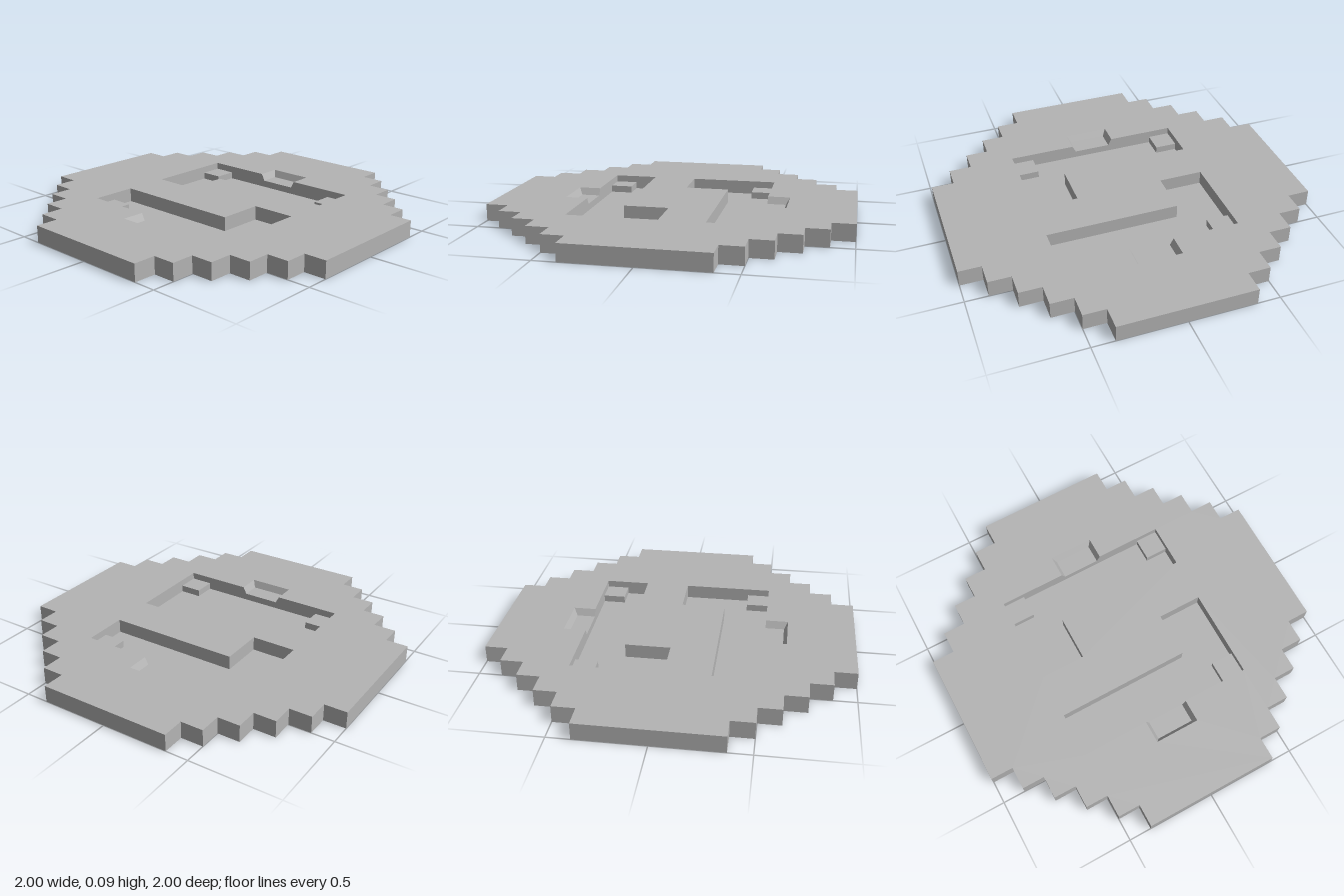
import * as THREE from 'three';

const TOP = 0.094, STEP = 0.055, FLOOR = 0.016; // plate top, ledge and pocket floor heights

const stone = new THREE.MeshStandardMaterial({ color: 0xb4b4b4 });
stone.name = 'grey';

function mesh(name, geometry) {
  const m = new THREE.Mesh(geometry, stone);
  m.name = name;
  return m;
}

// Flat upward face from [x, z] outlines
function cap(outline, y, holes = []) {
  const toV2 = ([x, z]) => new THREE.Vector2(x, -z);
  const shape = new THREE.Shape(outline.map(toV2));
  holes.forEach((h) => shape.holes.push(new THREE.Path(h.map(toV2))));
  return new THREE.ShapeGeometry(shape).rotateX(-Math.PI / 2).translate(0, y, 0);
}

// Flat-shaded band of quads between two rows of [x, z] points
function band(low, y0, high, y1) {
  const p = [];
  for (let i = 0; i < low.length - 1; i++) {
    const a = [low[i][0], y0, low[i][1]], b = [low[i + 1][0], y0, low[i + 1][1]];
    const c = [high[i + 1][0], y1, high[i + 1][1]], d = [high[i][0], y1, high[i][1]];
    p.push(...a, ...b, ...c, ...a, ...c, ...d);
  }
  const g = new THREE.BufferGeometry();
  g.setAttribute('position', new THREE.Float32BufferAttribute(p, 3));
  g.computeVertexNormals();
  return g;
}

const pocketRim = [[-0.5, -0.125], [-0.5, -0.5], [-0.25, -0.5], [-0.25, 0.25], [0, 0.25],
  [0, 0.5], [-0.5, 0.5], [-0.5, 0.125]];
const notchRim = [[-0.5, 0.125], [-0.625, 0.125], [-0.625, -0.125], [-0.5, -0.125]];
const notchFoot = [[-0.5, 0.105], [-0.605, 0.105], [-0.605, -0.105], [-0.5, -0.105]];

// L-shaped pocket with a sloped side notch and two corner blocks
function makePocket() {
  const g = new THREE.Group();
  // Walls start beside the notch and run around the L
  const walls = pocketRim;
  g.add(mesh('pocketWalls', band(walls, FLOOR, walls, TOP)));
  g.add(mesh('pocketFloor', cap(pocketRim.slice(1, 7), FLOOR)));
  g.add(mesh('notchFloor', cap(notchFoot, STEP)));
  g.add(mesh('notchSlopes', band(notchFoot, STEP, notchRim, TOP)));

  // Wall under the notch, drawn in the z-y plane and turned to face the pocket
  const sill = new THREE.Shape([[-0.125, FLOOR], [0.125, FLOOR], [0.125, TOP], [0.105, STEP],
    [-0.105, STEP], [-0.125, TOP]].map(([x, y]) => new THREE.Vector2(x, y)));
  g.add(mesh('notchSill', new THREE.ShapeGeometry(sill).rotateY(Math.PI / 2).translate(-0.5, 0, 0)));

  for (const side of [-1, 1]) {
    const block = mesh('cornerBlock', new THREE.BoxGeometry(0.125, STEP - FLOOR, 0.125));
    block.position.set(-0.4375, (STEP + FLOOR) / 2, side * 0.4375);
    g.add(block);
  }
  return g;
}

export function createModel() {
  const model = new THREE.Group();
  model.name = 'steppedDisc';

  // Stepped rim: one quadrant of stairs, turned four times
  let quarter = [[0.375, 1]];
  for (let i = 0; i < 5; i++) {
    const x = 0.375 + i * 0.125, z = 0.875 - i * 0.125;
    quarter.push([x, z], [x + 0.125, z]);
  }
  const outline = [];
  for (let q = 0; q < 4; q++) {
    outline.push(...quarter);
    quarter = quarter.map(([x, z]) => [z, -x]);
  }
  const loop = [...outline, outline[0]];

  // Plate surfaces, with both pockets cut through the top
  const hole = [...pocketRim, ...notchRim.slice(1, 3)];
  const holes = [hole, hole.map(([x, z]) => [-x, -z])];
  model.add(mesh('plateTop', cap(outline, TOP, holes)));
  model.add(mesh('plateRim', band(loop, 0, loop, TOP)));
  model.add(mesh('plateBottom', cap(outline, 0).rotateX(Math.PI)));

  // The two pockets are half a turn apart
  ['rightPocket', 'leftPocket'].forEach((name, i) => {
    const pocket = makePocket();
    pocket.name = name;
    pocket.rotation.y = i * Math.PI;
    model.add(pocket);
  });
  return model;
}
